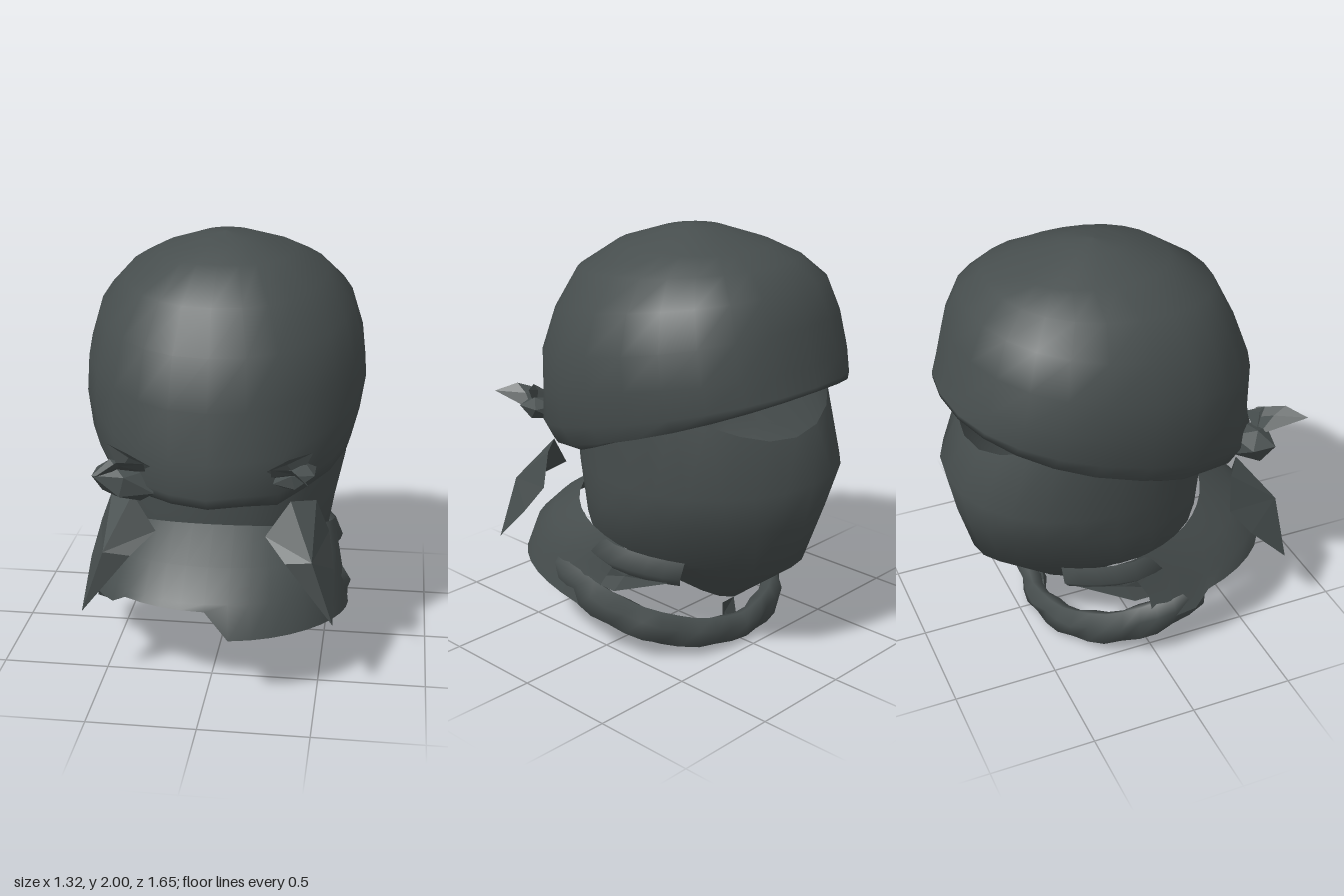
import * as THREE from 'three';

const cloth = new THREE.MeshStandardMaterial({ color: 0x474e4e, side: THREE.DoubleSide });
cloth.name = 'dark grey cloth';

const smoothGeometry = (pos, index) => {
  const g = new THREE.BufferGeometry();
  g.setAttribute('position', new THREE.Float32BufferAttribute(pos, 3));
  g.setIndex(index);
  g.computeVertexNormals();
  return g;
};

// Joins tilted oval rows, listed bottom to top.
// Row: [zFront, yFront, zBack, yBack, halfWidth, extra height at the sides]
function loft(rows, { from = 0, to = 360, n = 24, power = 0.93, adjust } = {}) {
  const closed = to - from === 360, cols = closed ? n : n + 1;
  const pos = [], index = [];
  const soft = v => Math.sign(v) * Math.abs(v) ** power;
  rows.forEach(([zf, yf, zb, yb, w, lift = 0], i) => {
    for (let j = 0; j < cols; j++) {
      const a = THREE.MathUtils.degToRad(from + (to - from) * j / n);
      const c = soft(Math.cos(a)), s = soft(Math.sin(a));
      const p = new THREE.Vector3(w * s,
        (yf + yb) / 2 + c * (yf - yb) / 2 + lift * s * s,
        (zf + zb) / 2 + c * (zf - zb) / 2);
      if (adjust) adjust(p, i, j);
      pos.push(p.x, p.y, p.z);
    }
  });
  for (let i = 0; i < rows.length - 1; i++) for (let j = 0; j < n; j++) {
    const k = (j + 1) % cols, a = i * cols + j, b = i * cols + k;
    index.push(a, b, b + cols, a, b + cols, a + cols);
  }
  return smoothGeometry(pos, index);
}

// A folded scrap of cloth: a fan of corners around a raised centre.
function scrap(centre, corners, side = 1) {
  const pos = [];
  corners.forEach((c, i) => {
    const d = corners[(i + 1) % corners.length];
    const tri = side > 0 ? [centre, c, d] : [centre, d, c];
    tri.forEach(([x, y, z]) => pos.push(x * side, y, z));
  });
  const g = new THREE.BufferGeometry();
  g.setAttribute('position', new THREE.Float32BufferAttribute(pos, 3));
  g.computeVertexNormals();
  return g;
}

export function createModel() {
  const group = new THREE.Group();
  const add = (name, geometry) => {
    const m = new THREE.Mesh(geometry, cloth);
    m.name = name;
    group.add(m);
    return m;
  };

  // Hood with a rim that climbs towards -z, narrower towards +z
  add('hood', loft([
    [0.40, 0.86, -0.77, 1.37, 0.59],
    [0.62, 0.89, -0.83, 1.355, 0.61, -0.03],
    [0.69, 0.96, -0.83, 1.375, 0.635],
    [0.65, 1.1, -0.80, 1.46, 0.66, 0.05],
    [0.655, 1.35, -0.76, 1.63, 0.645],
    [0.57, 1.57, -0.69, 1.78, 0.59],
    [0.47, 1.77, -0.58, 1.87, 0.47],
    [0.26, 1.91, -0.46, 1.92, 0.32],
    [0.06, 1.975, -0.22, 1.99, 0.13],
    [-0.08, 2.0, -0.08, 2.0, 0],
  ], { power: 0.89, adjust: (p, i, j) => {
    p.x *= 1 - 0.05 * p.z - (p.z > 0 ? 0.2 * p.z * p.z : 0);
    // gathered, wavy hem
    if (i > 0 && i < 4 && p.z > 0.2) p.y += 0.015 * Math.sin(j * 2.3);
  } }));

  // Face covering, tapering to a pointed chin and dipping at the nose
  add('faceMask', loft([
    [0.38, 0.56, -0.37, 0.21, 0.44, 0.05],
    [0.40, 0.62, -0.72, 0.48, 0.52],
    [0.41, 0.75, -0.79, 0.72, 0.55],
    [0.42, 0.88, -0.83, 0.92, 0.575],
    [0.42, 0.98, -0.73, 1.12, 0.575, 0.26],
  ], { adjust: (p, i) => {
    const taper = [0.9, 0.55, 0.25, 0, 0][i];
    p.x *= 1 - taper * THREE.MathUtils.clamp(-p.z - 0.05, 0, 0.6);
    if (i === 0) p.y += 0.25 * Math.abs(p.x);
  } }));

  // Scarf draped over the neck, with a stepped lower hem
  add('neckScarf', loft([
    [0.79, 0.33, -0.42, 0.08, 0.62, 0.06],
    [0.73, 0.48, -0.42, 0.24, 0.59, 0.05],
    [0.60, 0.60, -0.44, 0.36, 0.565, 0.03],
    [0.41, 0.73, -0.48, 0.48, 0.535],
  ], { from: -108, to: 108, adjust: (p, i) => {
    if (i === 0 && p.x < 0.06 && p.z > 0.2) {
      p.y += p.x < -0.4 ? 0.07 : 0.12;
      p.z -= 0.04;
    }
  } }));

  // Thick folded loop hanging below the chin, slightly lopsided
  const loopPos = [], loopIndex = [], segs = 24, sides = 6;
  for (let i = 0; i <= segs; i++) {
    const a = THREE.MathUtils.degToRad(74 + 212 * i / segs);
    const side = Math.abs(Math.sin(a)), c = Math.cos(a);
    const tall = 0.068 + 0.035 * side, wide = 0.055;
    for (let j = 0; j < sides; j++) {
      const t = j / sides * Math.PI * 2 + 0.3;
      const r = wide * Math.cos(t) * (1 + 0.25 * Math.sin(i * 2.1 + j * 1.7));
      const x = (0.57 + r) * Math.sin(a);
      loopPos.push(x, 0.288 + 0.21 * c + 0.04 * x + tall * Math.sin(t), 0.09 + (0.5 + r) * c);
    }
  }
  for (let i = 0; i < segs; i++) for (let j = 0; j < sides; j++) {
    const a = i * sides + j, b = i * sides + (j + 1) % sides;
    loopIndex.push(a, b, b + sides, a, b + sides, a + sides);
  }
  add('chinLoop', smoothGeometry(loopPos, loopIndex));
  add('loopTab', scrap([0.03, 0.13, -0.34], [
    [-0.03, 0.06, -0.37], [0.08, 0.07, -0.37], [0.07, 0.2, -0.36], [0, 0.21, -0.37]]));

  for (const s of [1, -1]) {
    const name = s > 0 ? 'left' : 'right';
    const scraps = (part, centre, corners) => add(name + part, scrap(centre, corners, s));

    // Folds joining the scarf to the mask
    add(name + 'ScarfFold', loft([
      [0.42, 0.50, -0.58, 0.38, 0.52],
      [0.42, 0.56, -0.62, 0.43, 0.575],
      [0.40, 0.66, -0.62, 0.50, 0.54],
    ], { from: s > 0 ? 55 : 235, to: s > 0 ? 125 : 305, n: 8,
      adjust: p => { p.x *= 1 + 0.4 * Math.min(0, p.z + 0.1); } }));
    scraps('ScarfPleat', [0.51, 0.42, -0.14], [
      [0.56, 0.36, 0.12], [0.54, 0.34, -0.1], [0.43, 0.42, -0.34], [0.47, 0.52, -0.28], [0.56, 0.5, 0.05]]);

    // Knot with its short upper ends
    const knot = add(name + 'Knot', new THREE.IcosahedronGeometry(1, 0));
    knot.scale.set(s > 0 ? 0.11 : 0.17, s > 0 ? 0.06 : 0.09, 0.11);
    knot.position.set(0.38 * s, s > 0 ? 1.05 : 0.99, 0.56);
    knot.rotation.z = s * 0.25;
    scraps('KnotSpike', [0.38, 1.1, 0.68], [
      [0.28, 1.05, 0.6], [0.42, 1.04, 0.58], [0.46, 1.1, 0.82], [0.38, 1.14, 0.74], [0.28, 1.1, 0.64]]);
    scraps('KnotEnd', [0.35, 1.12, 0.62], [
      [0.25, 1.07, 0.6], [0.4, 1.04, 0.58], [0.46, 1.16, 0.56], [0.36, 1.15, 0.64]]);

    // Long, cupped tail hanging from the knot
    scraps('Tail', [0.47, 0.68, 0.67], [
      [0.36, 0.9, 0.5], [0.25, 0.74, 0.54], [0.35, 0.66, 0.65], [0.57, 0.39, 0.69],
      [0.56, 0.58, 0.5], [0.53, 0.72, 0.39], [0.47, 0.88, 0.42]]);
  }
  return group;
}
